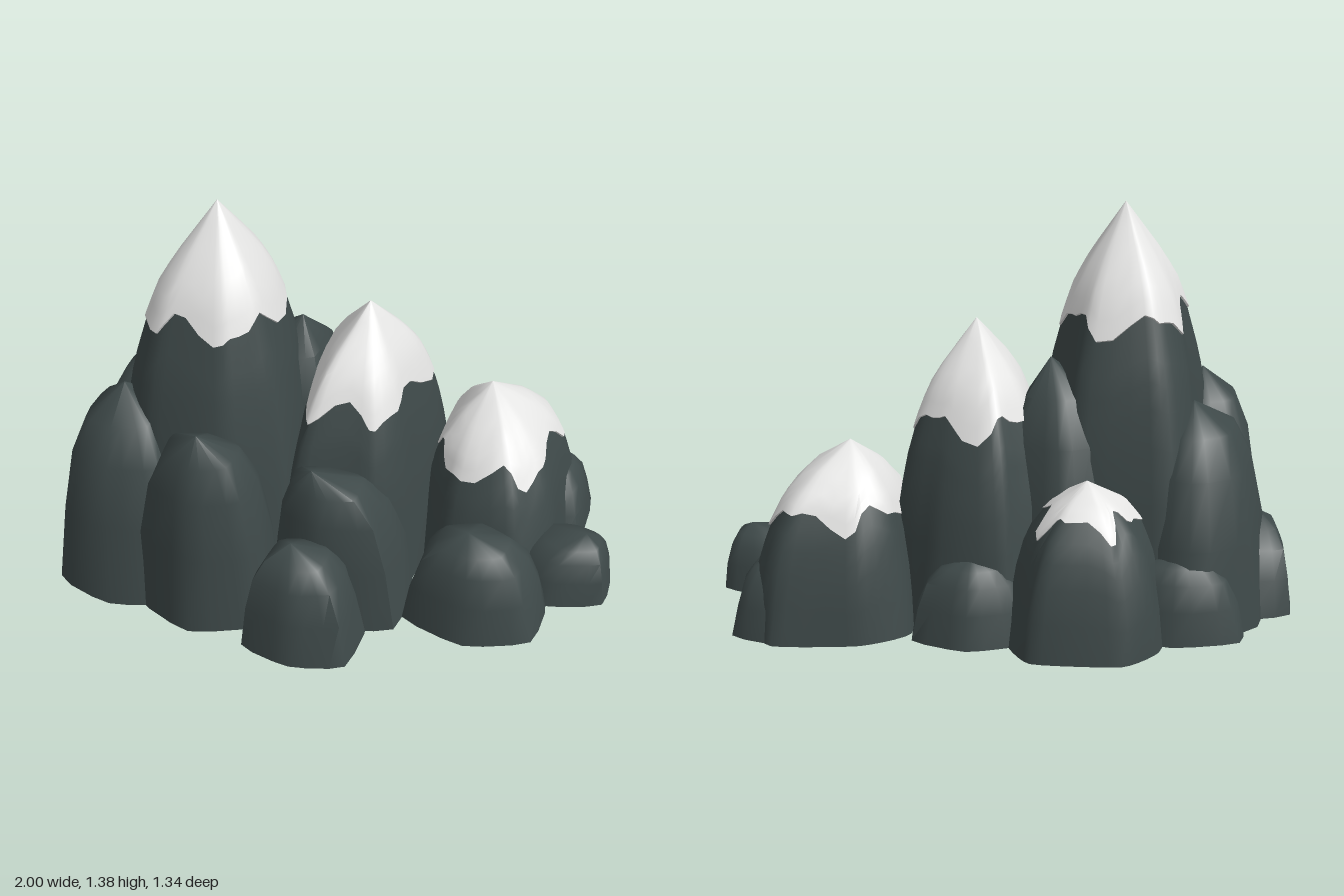
import * as THREE from 'three';
import { toCreasedNormals } from 'three/addons/utils/BufferGeometryUtils.js';

const rock = new THREE.MeshStandardMaterial({ color: 0x3e4949 });
rock.name = 'slate rock';
const snow = new THREE.MeshStandardMaterial({ color: 0xe4e4e3 });
snow.name = 'snow';

// Slope profiles: [height fraction, share of the footprint]
const PEAK = [[0, 1], [0.2, 0.96], [0.42, 0.89], [0.6, 0.77], [0.72, 0.64], [0.8, 0.53], [0.87, 0.37], [1, 0]];
const LUMP = [[0, 1], [0.3, 0.93], [0.55, 0.8], [0.73, 0.63], [0.86, 0.4], [1, 0]];
const CRAG = [[0, 1], [0.4, 0.88], [0.7, 0.72], [0.87, 0.5], [1, 0]];

function spread(profile, t) {
  for (let i = 1; i < profile.length; i++) {
    const [t0, r0] = profile[i - 1], [t1, r1] = profile[i];
    if (t <= t1) return r0 + (r1 - r0) * (t - t0) / (t1 - t0);
  }
  return 0;
}

// Rounded, slightly uneven polygon fitted to x0..x1, z0..z1
function footprint([x0, x1, z0, z1], corners, n, seed) {
  const bulge = v => Math.sign(v) * Math.abs(v) ** 0.7;
  const points = Array.from({ length: corners }, (_, k) => {
    const a = (k + 0.5) / corners * Math.PI * 2;
    const r = 1 + 0.07 * Math.sin(k * 2.4 + seed * 1.7);
    return new THREE.Vector3(r * bulge(Math.cos(a)), 0, r * bulge(Math.sin(a)));
  });
  const ring = new THREE.CatmullRomCurve3(points, true, 'catmullrom', 0.25).getPoints(n).slice(0, n);
  const { min, max } = new THREE.Box3().setFromPoints(ring);
  return ring.map(p => [
    THREE.MathUtils.mapLinear(p.x, min.x, max.x, x0, x1),
    THREE.MathUtils.mapLinear(p.z, min.z, max.z, z0, z1),
  ]);
}

// Skin over a stack of rings, with an optional floor and pointed or open top
function skin(rings, floor, pointed) {
  const n = rings[0].length, pos = rings.flat(2), idx = [];
  for (let j = 0; j < rings.length - 1; j++) {
    for (let i = 0; i < n; i++) {
      const a = j * n + i, c = j * n + (i + 1) % n;
      idx.push(a, a + n, c);
      if (!pointed || j < rings.length - 2) idx.push(c, a + n, c + n);
    }
  }
  if (floor) {
    const mid = pos.length / 3;
    pos.push(...[0, 1, 2].map(k => rings[0].reduce((s, p) => s + p[k], 0) / n));
    for (let i = 0; i < n; i++) idx.push(mid, i, (i + 1) % n);
  }
  const g = new THREE.BufferGeometry();
  g.setAttribute('position', new THREE.Float32BufferAttribute(pos, 3));
  g.setIndex(idx);
  return toCreasedNormals(g, 0.9);
}

// A mountain rises from its footprint box to its apex; line is the snow height fraction
function mountain(name, apex, box, profile, seed, line) {
  const group = new THREE.Group();
  group.name = name;
  const corners = line ? 8 : 6, n = corners * (line ? 5 : 3);
  const base = footprint(box, corners, n, seed);
  const angle = i => i / n * Math.PI * 2;
  const point = (i, t, grow = 1) => {
    const ridge = 1 + 0.035 * Math.sin(Math.PI * t) * Math.sin(5 * angle(i) + seed * 2.3 + t * 2);
    const r = spread(profile, t) * ridge * grow;
    return [apex[0] + (base[i][0] - apex[0]) * r, apex[1] * t, apex[2] + (base[i][1] - apex[2]) * r];
  };
  // Wavy height where rock meets snow
  const edge = i => line
    ? line + (0.035 * Math.sin(5 * angle(i) + seed) + 0.02 * Math.sin(9 * angle(i) + seed * 2)) / apex[1]
    : 1;
  const row = f => base.map((_, i) => f(i));
  const add = (part, geometry, material) => {
    const mesh = new THREE.Mesh(geometry, material);
    mesh.name = part;
    group.add(mesh);
  };
  const slope = profile.map(([t]) => row(i => point(i, t * edge(i))));
  add('rockSlope', skin(slope, true, !line), rock);
  if (line) {
    const cap = [row(i => point(i, edge(i) - 0.005, 0.98))];
    for (const s of [0, 0.15, 0.3, 0.45, 0.6, 0.8, 1]) {
      cap.push(row(i => point(i, edge(i) + (1 - edge(i)) * s, 1.03)));
    }
    add('snowCap', skin(cap, false, true), snow);
  }
  return group;
}

export function createModel() {
  const model = new THREE.Group();
  model.name = 'mountainRange';
  const place = (...args) => model.add(mountain(...args));

  // Snowy summits
  place('mainPeak', [-0.4, 1.38, 0.04], [-0.73, -0.08, -0.38, 0.43], PEAK, 1, 0.73);
  place('middlePeak', [0.085, 1, -0.11], [-0.2, 0.34, -0.51, 0.31], PEAK, 2, 0.69);
  place('rightPeak', [0.48, 0.62, -0.32], [0.25, 0.81, -0.64, 0.09], LUMP, 3, 0.65);
  place('backPeak', [-0.32, 0.54, -0.42], [-0.6, -0.04, -0.67, -0.1], LUMP, 4, 0.78);

  // Bare shoulders
  place('saddleRock', [-0.17, 0.88, -0.14], [-0.45, -0.02, -0.44, 0.1], CRAG, 5);
  place('leftShoulder', [-0.65, 0.74, -0.12], [-0.92, -0.4, -0.44, 0.3], CRAG, 6);
  place('frontLeftShoulder', [-0.67, 0.76, 0.28], [-0.9, -0.42, 0, 0.56], CRAG, 16);
  place('frontShoulder', [-0.33, 0.74, 0.48], [-0.6, -0.1, 0.15, 0.61], CRAG, 7);
  place('middleShoulder', [0.02, 0.58, 0.34], [-0.15, 0.34, 0.05, 0.45], CRAG, 8);

  // Foothills
  place('frontFoothill', [0, 0.39, 0.5], [-0.15, 0.24, 0.3, 0.67], CRAG, 9);
  place('frontRightFoothill', [0.54, 0.355, 0.22], [0.33, 0.81, -0.02, 0.39], CRAG, 10);
  place('rightFoothill', [0.9, 0.22, -0.07], [0.6, 1, -0.22, 0.1], CRAG, 11);
  place('backRightFoothill', [0.7, 0.26, -0.46], [0.45, 0.85, -0.63, -0.22], CRAG, 12);
  place('backFoothill', [0.05, 0.28, -0.46], [-0.15, 0.25, -0.6, -0.25], CRAG, 13);
  place('backLeftFoothill', [-0.62, 0.28, -0.34], [-0.84, -0.38, -0.48, -0.15], CRAG, 14);
  place('leftFoothill', [-0.88, 0.31, 0.05], [-1, -0.6, -0.22, 0.28], CRAG, 15);
  return model;
}
